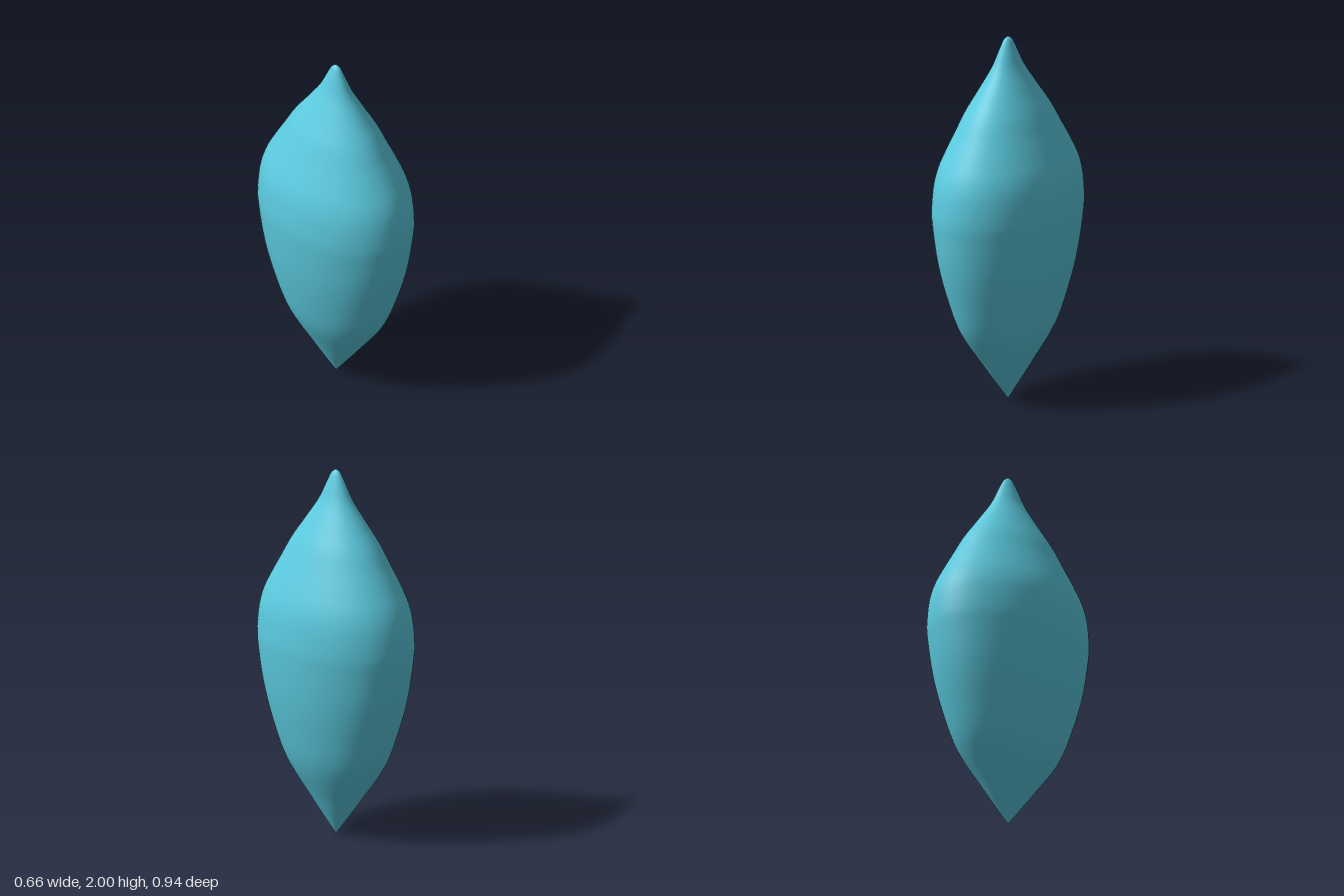
import * as THREE from 'three';

export function createModel() {
  const group = new THREE.Group();
  group.name = 'bud';

  // Half depth of the body against height, from the pointed foot to the rounded tip
  const profile = [
    [0, 0], [0.077, 0.1], [0.152, 0.2], [0.295, 0.4], [0.377, 0.6], [0.434, 0.8],
    [0.466, 1.0], [0.471, 1.1], [0.458, 1.22], [0.43, 1.31], [0.383, 1.4],
    [0.325, 1.5], [0.267, 1.6], [0.195, 1.7], [0.123, 1.8], [0.092, 1.85],
    [0.068, 1.9], [0.044, 1.95], [0.025, 1.983], [0, 2],
  ].map(([r, y]) => new THREE.Vector2(r, y));
  const points = new THREE.SplineCurve(profile).getPoints(120);
  points.forEach((p) => { p.x = Math.max(p.x, 0); });

  // Turned body, flattened sideways into a slightly full oval
  const geometry = new THREE.LatheGeometry(points, 96);
  const position = geometry.attributes.position;
  const normal = geometry.attributes.normal;
  const flat = 0.7;
  const power = 2.06;
  for (let i = 0; i < position.count; i++) {
    const x = position.getX(i);
    const z = position.getZ(i);
    const r = Math.hypot(x, z);
    if (r > 0) {
      const c = Math.abs(x / r);
      const s = Math.abs(z / r);
      const k = Math.pow(c ** power + s ** power, -1 / power);
      position.setX(i, x * k * flat);
      position.setZ(i, z * k);
    }
    const n = new THREE.Vector3(normal.getX(i) / flat, normal.getY(i), normal.getZ(i)).normalize();
    normal.setXYZ(i, n.x, n.y, n.z);
  }

  const body = new THREE.Mesh(geometry, new THREE.MeshStandardMaterial({ color: 0x5ccbe0 }));
  body.name = 'body';
  group.add(body);
  return group;
}
